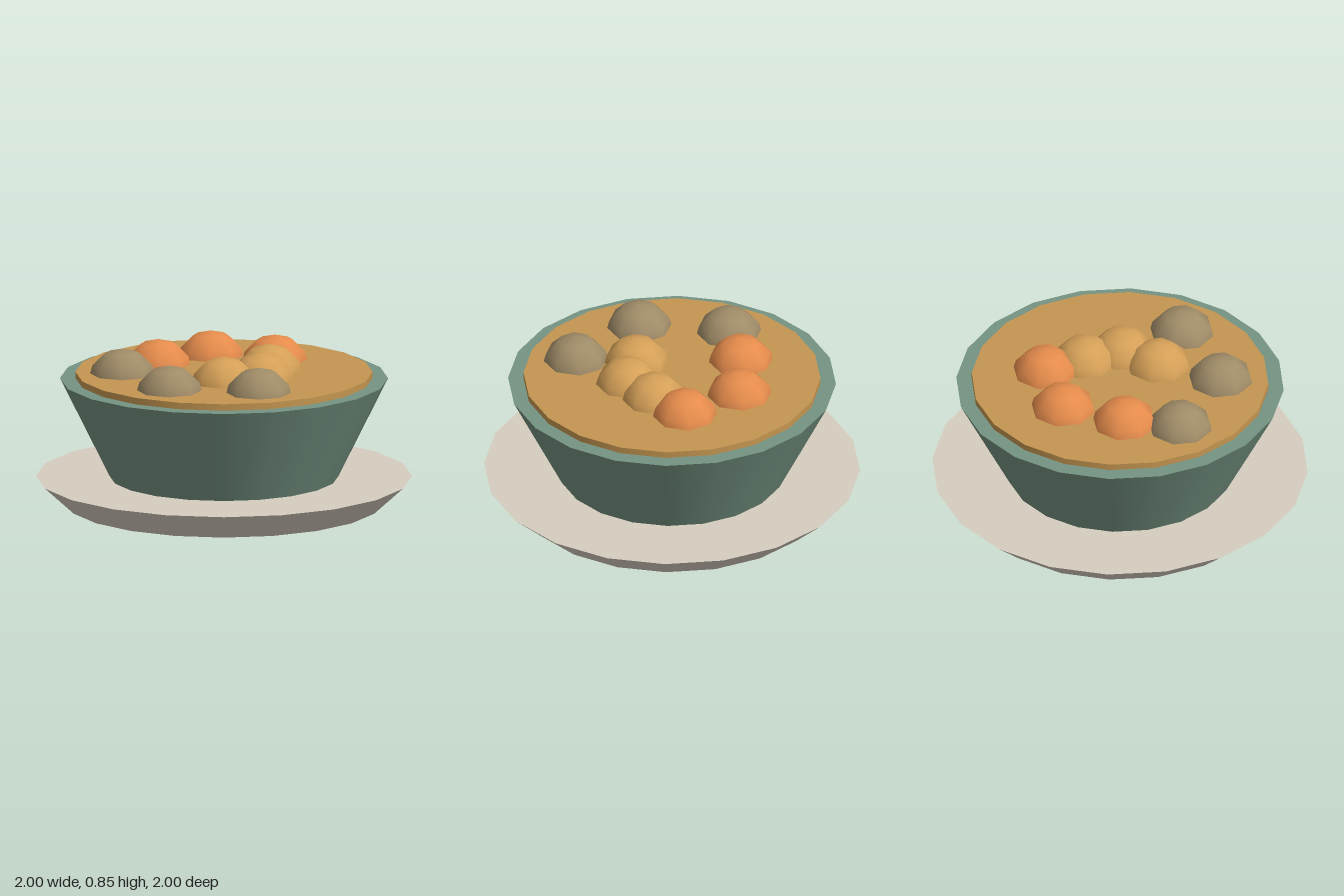
import * as THREE from 'three';

const SIDES = 20;

function mesh(name, geometry, color) {
  const m = new THREE.Mesh(geometry, new THREE.MeshStandardMaterial({ color }));
  m.name = name;
  return m;
}

// Solid tapered disc standing between two heights
function disc(name, rTop, rBottom, y0, y1, color) {
  const m = mesh(name, new THREE.CylinderGeometry(rTop, rBottom, y1 - y0, SIDES), color);
  m.position.y = (y0 + y1) / 2;
  return m;
}

export function createModel() {
  const model = new THREE.Group();
  model.name = 'bowlOfStew';

  // Saucer, bowl and the stew surface standing just above the rim
  model.add(disc('saucer', 1, 0.84, 0, 0.147, 0xd6cdbe));
  model.add(disc('bowl', 0.872, 0.6, 0.13, 0.68, 0x759382));
  model.add(disc('stew', 0.79, 0.79, 0.64, 0.715, 0xc39550));

  // Half-sunk round chunks: [x, z] centres by kind
  const chunks = {
    carrot: { color: 0xe68c4c, at: [[-0.07, -0.4], [-0.35, -0.19], [0.27, -0.3]] },
    potato: { color: 0xd6a158, at: [[0.24, -0.07], [0.2, 0.14], [0, 0.24]] },
    meat: { color: 0xa08c68, at: [[-0.54, 0.04], [-0.29, 0.45], [0.185, 0.505]] },
  };
  const ball = new THREE.SphereGeometry(0.185, 8, 6);
  for (const [name, { color, at }] of Object.entries(chunks)) {
    const group = new THREE.Group();
    group.name = name + 'Chunks';
    for (const [x, z] of at) {
      const chunk = mesh(name, ball, color);
      chunk.position.set(x, 0.665, z);
      group.add(chunk);
    }
    model.add(group);
  }
  return model;
}
